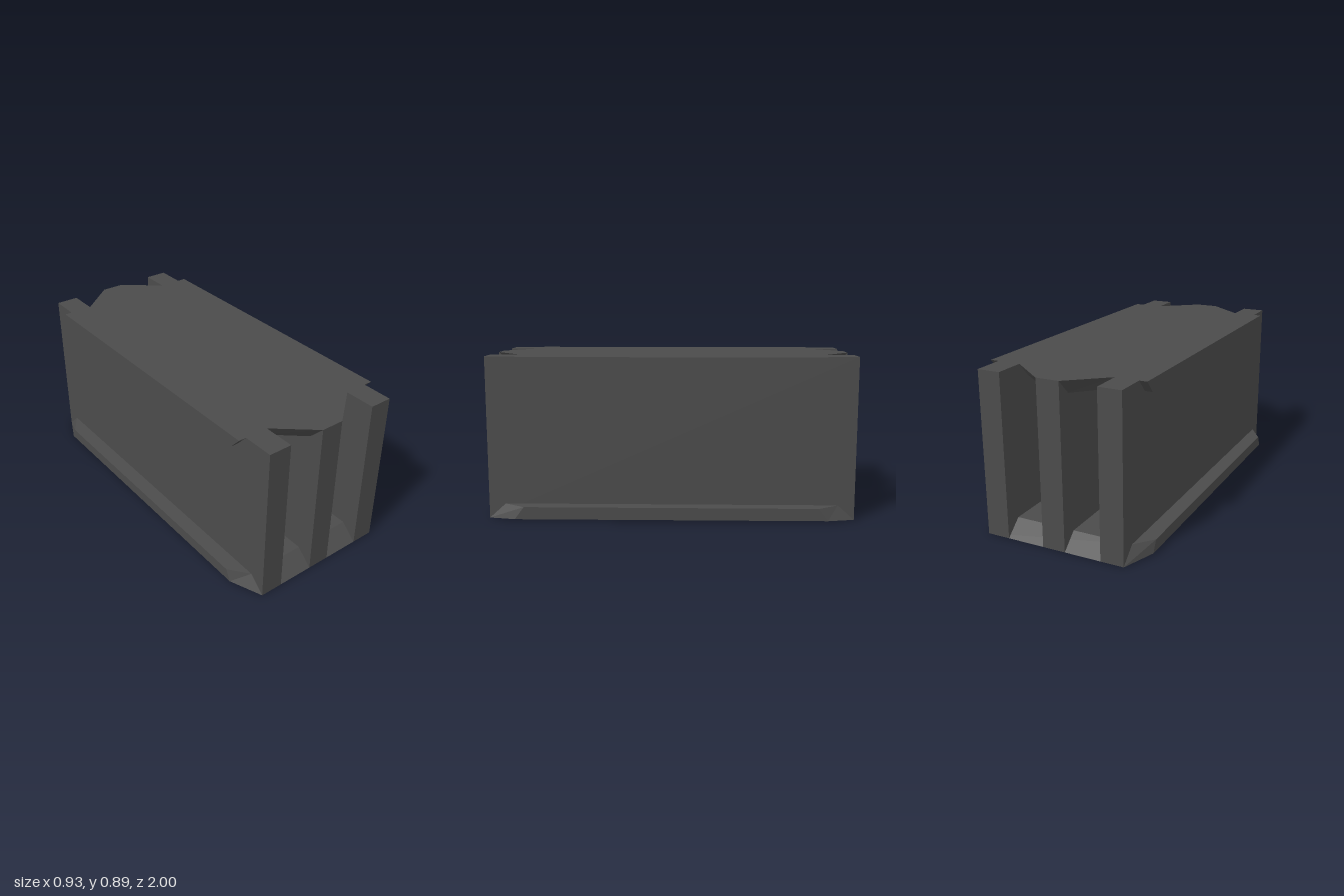
import * as THREE from 'three';

// Lofts four-sided sections along x. Each section: [x, yBottom, yTop, zBottom, zTop], mirrored in z.
function loftAlongX(sections) {
  const pos = [], index = [];
  for (const [x, yb, yt, zb, zt] of sections) {
    pos.push(x, yb, zb, x, yt, zt, x, yt, -zt, x, yb, -zb);
  }
  const quad = (a, b, c, d) => index.push(a, b, c, a, c, d);
  for (let i = 0; i < sections.length - 1; i++) {
    const a = i * 4, b = a + 4;
    for (let k = 0; k < 4; k++) {
      const n = (k + 1) % 4;
      quad(a + k, b + k, b + n, a + n);
    }
  }
  const e = (sections.length - 1) * 4;
  quad(0, 1, 2, 3);
  quad(e + 3, e + 2, e + 1, e);
  const geo = new THREE.BufferGeometry();
  geo.setAttribute('position', new THREE.Float32BufferAttribute(pos, 3));
  geo.setIndex(index);
  const flat = geo.toNonIndexed();
  flat.computeVertexNormals();
  return flat;
}

export function createModel() {
  const group = new THREE.Group();
  const darkGrey = new THREE.MeshStandardMaterial({ color: 0x4b4b4b });
  darkGrey.name = 'dark grey';

  const add = (name, geometry) => {
    const mesh = new THREE.Mesh(geometry, darkGrey);
    mesh.name = name;
    group.add(mesh);
    return mesh;
  };

  // Three full-length upright walls
  const height = 0.89;
  for (const [name, x0, x1] of [
    ['rightWall', -0.388, -0.26],
    ['centreWall', -0.057, 0.07],
    ['leftWall', 0.279, 0.405],
  ]) {
    add(name, new THREE.BoxGeometry(x1 - x0, height, 2))
      .position.set((x0 + x1) / 2, height / 2, 0);
  }

  // Bottom plate: bevelled ends and tapered side flanges
  add('bottomPlate', loftAlongX([
    [-0.465, 0.01, 0.073, 0.83, 0.8],
    [-0.388, 0, 0.081, 1, 0.91],
    [0.405, 0, 0.081, 1, 0.91],
    [0.463, 0.008, 0.076, 0.85, 0.8],
  ]));

  // Top plate: undercut ends that reach forward to the centre wall
  add('topPlate', loftAlongX([
    [-0.43, 0.823, height, 0.77, 0.83],
    [-0.26, 0.823, height, 0.77, 0.83],
    [-0.057, 0.81, height, 0.92, 1],
    [0.07, 0.81, height, 0.92, 1],
    [0.279, 0.823, height, 0.77, 0.83],
    [0.453, 0.823, height, 0.77, 0.83],
  ]));

  return group;
}
